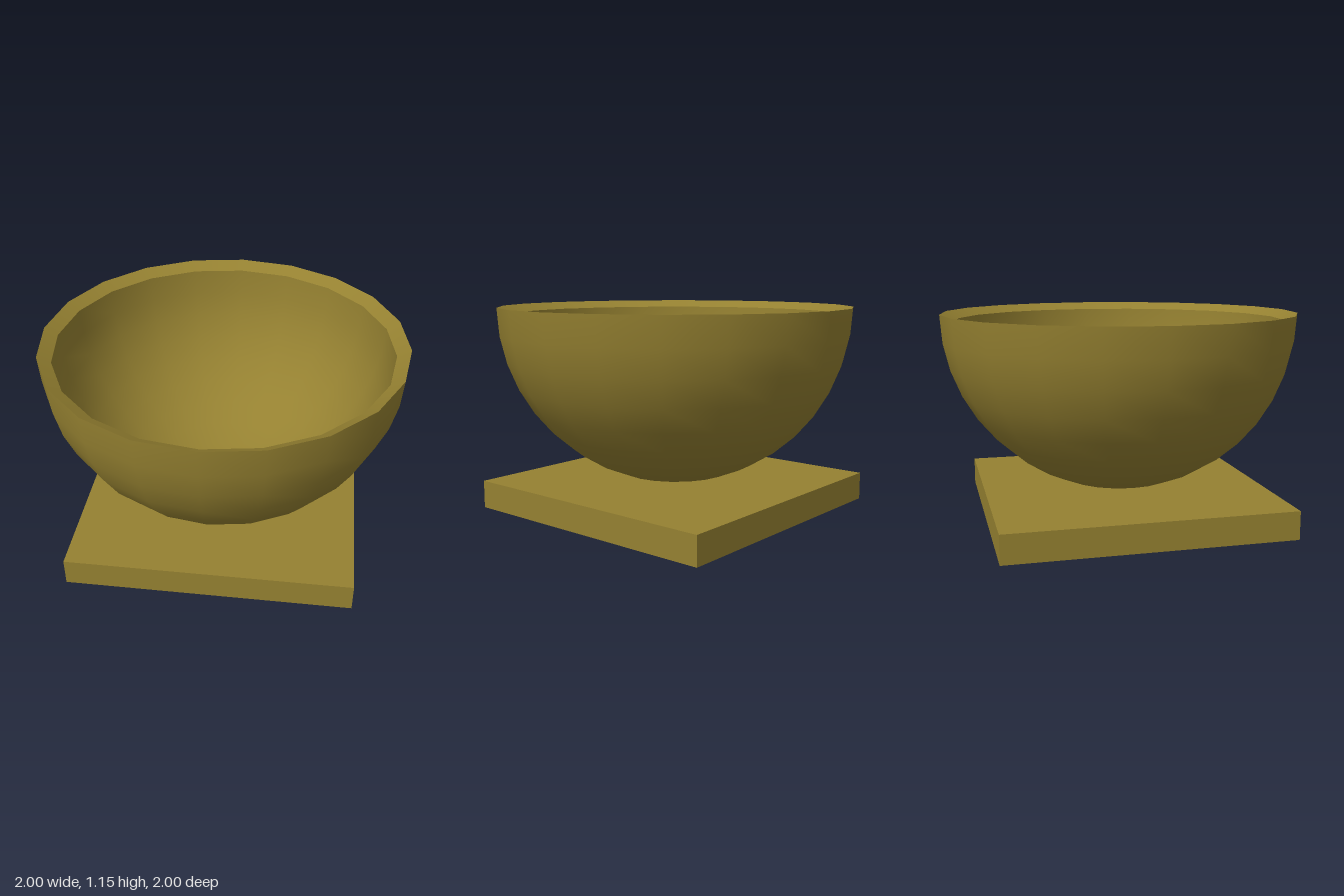
import * as THREE from 'three';

const SIDES = 20;

// quarter-circle profile from the bottom pole up to the rim
function quarterArc(radius, centreY, steps = 10) {
  const points = [];
  for (let i = 0; i <= steps; i++) {
    const a = (i / steps) * Math.PI / 2;
    points.push(new THREE.Vector2(radius * Math.sin(a), centreY - radius * Math.cos(a)));
  }
  return points;
}

export function createModel() {
  const model = new THREE.Group();
  const olive = new THREE.MeshStandardMaterial({ color: 0x958131 });
  olive.name = 'olive';

  const add = (name, geometry, parent) => {
    const mesh = new THREE.Mesh(geometry, olive);
    mesh.name = name;
    parent.add(mesh);
    return mesh;
  };

  // square base slab
  add('base', new THREE.BoxGeometry(1.57, 0.157, 1.57), model).position.y = 0.0785;

  // bowl: outer shell, inward sloping rim and inner shell, each smooth with sharp joins
  const bowl = new THREE.Group();
  bowl.name = 'bowl';
  model.add(bowl);
  const outer = quarterArc(1, 1.155);
  const inner = quarterArc(0.927, 1.114).reverse();
  const rim = [outer[outer.length - 1].clone(), inner[0].clone()];
  add('outerShell', new THREE.LatheGeometry(outer, SIDES), bowl);
  add('rim', new THREE.LatheGeometry(rim, SIDES), bowl);
  add('innerShell', new THREE.LatheGeometry(inner, SIDES), bowl);

  return model;
}
